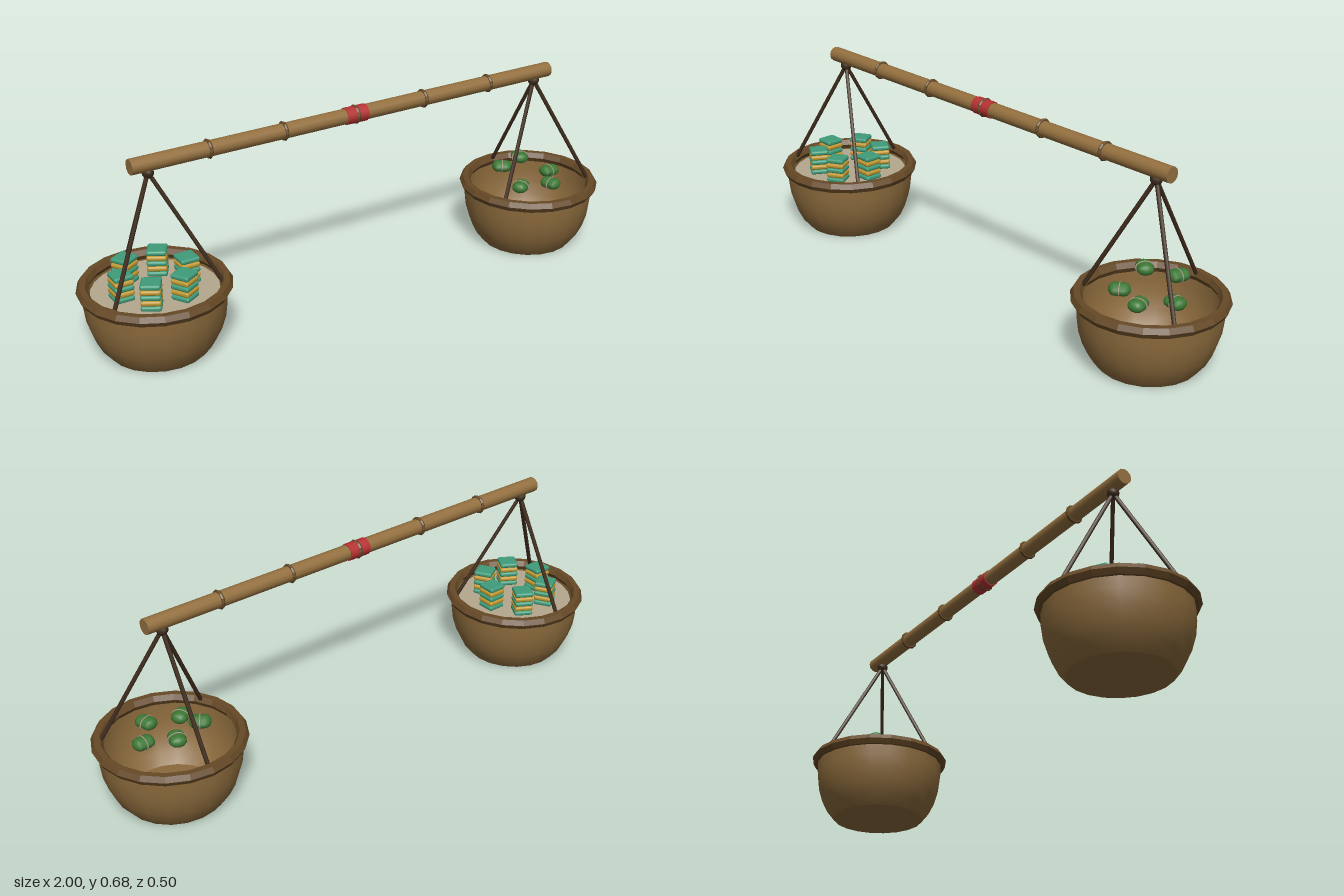
import * as THREE from 'three';
import { RoundedBoxGeometry } from 'three/addons/geometries/RoundedBoxGeometry.js';

const material = (name, color, extra = {}) => {
  const m = new THREE.MeshStandardMaterial({ color, ...extra });
  m.name = name;
  return m;
};

export function createModel() {
  const model = new THREE.Group();
  model.name = 'shoulderPoleWithBaskets';

  const bamboo = material('bamboo', 0x94703f);
  const wicker = material('wicker', 0x8b6a3c, { side: THREE.DoubleSide });
  const rimBrown = material('rimBrown', 0x664926, { flatShading: true });
  const ropeBrown = material('ropeBrown', 0x3f2c1c);
  const red = material('redCloth', 0xb83232);
  const cloth = material('paleCloth', 0xb5a88f);
  const teal = material('tealCake', 0x3f9c7a);
  const gold = material('goldCake', 0xbf9730);
  const leaf = material('leafGreen', 0x3d7a36);
  const string = material('paleString', 0xa89c84);

  const add = (parent, name, geometry, mat, x = 0, y = 0, z = 0) => {
    const mesh = new THREE.Mesh(geometry, mat);
    mesh.name = name;
    mesh.position.set(x, y, z);
    parent.add(mesh);
    return mesh;
  };

  // Round rod between two points
  const rod = (parent, name, a, b, radius, mat, sides = 6) => {
    const dir = b.clone().sub(a);
    const mesh = add(parent, name, new THREE.CylinderGeometry(radius, radius, dir.length(), sides), mat);
    mesh.position.copy(a).add(b).multiplyScalar(0.5);
    mesh.quaternion.setFromUnitVectors(new THREE.Vector3(0, 1, 0), dir.normalize());
    return mesh;
  };

  // Carrying pole with its bamboo joints and the red grip
  const poleY = 0.647;
  const alongX = (name, x, length, radius, mat, sides) => rod(model, name,
    new THREE.Vector3(x - length / 2, poleY, 0), new THREE.Vector3(x + length / 2, poleY, 0), radius, mat, sides);
  alongX('pole', 0, 1.62, 0.026, bamboo, 12);
  for (const x of [-0.542, -0.271, 0, 0.271, 0.542]) {
    const joint = add(model, 'poleJoint', new THREE.TorusGeometry(0.027, 0.006, 6, 12), rimBrown, x, poleY, 0);
    joint.rotation.y = Math.PI / 2;
  }
  alongX('gripCloth', 0, 0.08, 0.029, red, 12);

  // Bowl profile, with the corner of the base doubled to keep it sharp
  const profile = [[0, 0.001], [0.163, 0.001], [0.163, 0.001], [0.19, 0.035], [0.21, 0.076],
    [0.224, 0.122], [0.23, 0.17], [0.231, 0.225]].map(([r, y]) => new THREE.Vector2(r, y));

  const makeBasket = (name, x) => {
    const basket = new THREE.Group();
    basket.name = name;
    basket.position.x = x;
    model.add(basket);
    add(basket, 'bowl', new THREE.LatheGeometry(profile, 20), wicker);
    const rim = add(basket, 'rim', new THREE.TorusGeometry(0.23, 0.02, 6, 20), rimBrown, 0, 0.225, 0);
    rim.rotation.x = Math.PI / 2;
    // Knot under the pole and three ropes down to the rim
    add(basket, 'knot', new THREE.SphereGeometry(0.02, 10, 8), ropeBrown, 0, 0.617, 0);
    for (const degrees of [30, 150, 270]) {
      const a = THREE.MathUtils.degToRad(degrees);
      rod(basket, 'rope', new THREE.Vector3(0, 0.617, 0),
        new THREE.Vector3(0.215 * Math.cos(a), 0.235, 0.215 * Math.sin(a)), 0.007, ropeBrown);
    }
    return basket;
  };

  // Basket of stacked cakes on a cloth-covered tray
  const cakes = makeBasket('cakeBasket', -0.75);
  add(cakes, 'clothTray', new THREE.CylinderGeometry(0.207, 0.207, 0.012, 24), cloth, 0, 0.203, 0);
  const cakeGeometry = new RoundedBoxGeometry(0.066, 0.017, 0.066, 2, 0.007);
  for (let i = 0; i < 6; i++) {
    const a = i * Math.PI / 3;
    const stack = new THREE.Group();
    stack.name = 'cakeStack';
    stack.position.set(0.115 * Math.cos(a), 0, 0.115 * Math.sin(a));
    stack.rotation.y = -a;
    cakes.add(stack);
    for (let k = 0; k < 5; k++) {
      add(stack, 'cake', cakeGeometry, k % 2 ? gold : teal, 0, 0.2165 + k * 0.0185, 0);
    }
  }

  // Basket of leaf-wrapped parcels, each tied with a string
  const parcels = makeBasket('parcelBasket', 0.75);
  for (let i = 0; i < 5; i++) {
    const a = i * Math.PI * 2 / 5;
    const parcel = new THREE.Group();
    parcel.name = 'parcel';
    parcel.position.set(0.097 * Math.cos(a), i < 3 ? 0.243 : 0.28, 0.097 * Math.sin(a));
    parcel.rotation.y = -a;
    parcels.add(parcel);
    const body = add(parcel, 'leafWrap', new THREE.CapsuleGeometry(0.02, 0.032, 4, 10), leaf);
    body.rotation.z = Math.PI / 2;
    body.scale.z = 1.4;
    const tie = add(parcel, 'string', new THREE.TorusGeometry(0.021, 0.0022, 5, 12), string);
    tie.rotation.y = Math.PI / 2;
    tie.scale.x = 1.38;
  }

  return model;
}
